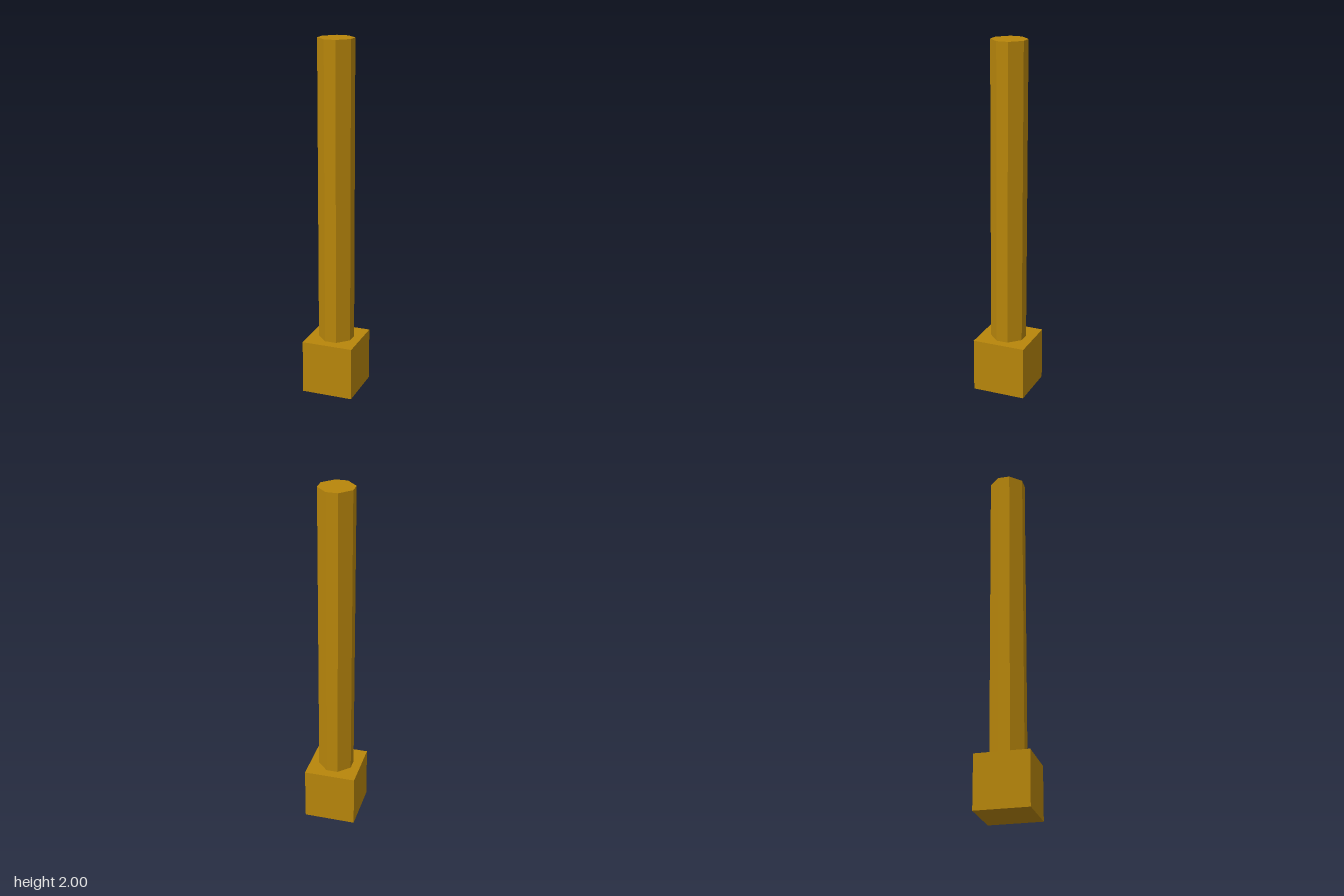
import * as THREE from 'three';

export function createModel() {
  const model = new THREE.Group();
  const material = new THREE.MeshStandardMaterial({ color: 0xb8860b, flatShading: true });

  // Square base block
  const baseHeight = 0.303;
  const base = new THREE.Mesh(new THREE.BoxGeometry(0.292, baseHeight, 0.303), material);
  base.name = 'base';
  base.position.y = baseHeight / 2;
  model.add(base);

  // Eight-sided shaft: a square section with its corners cut off
  const half = 0.095, flat = 0.033;
  const section = new THREE.Shape([
    [half, -flat], [half, flat], [flat, half], [-flat, half],
    [-half, flat], [-half, -flat], [-flat, -half], [flat, -half],
  ].map(([x, y]) => new THREE.Vector2(x, y)));
  const length = 2 - baseHeight;
  const geometry = new THREE.ExtrudeGeometry(section, { depth: length, bevelEnabled: false });
  geometry.rotateX(-Math.PI / 2);

  // Very slight lean towards the back and right
  const lean = 0.003 / length;
  geometry.applyMatrix4(new THREE.Matrix4().set(
    1, -lean, 0, 0,
    0, 1, 0, 0,
    0, -lean, 1, 0,
    0, 0, 0, 1,
  ));
  const shaft = new THREE.Mesh(geometry, material);
  shaft.name = 'shaft';
  shaft.position.set(0, baseHeight, -0.001);
  model.add(shaft);

  return model;
}
